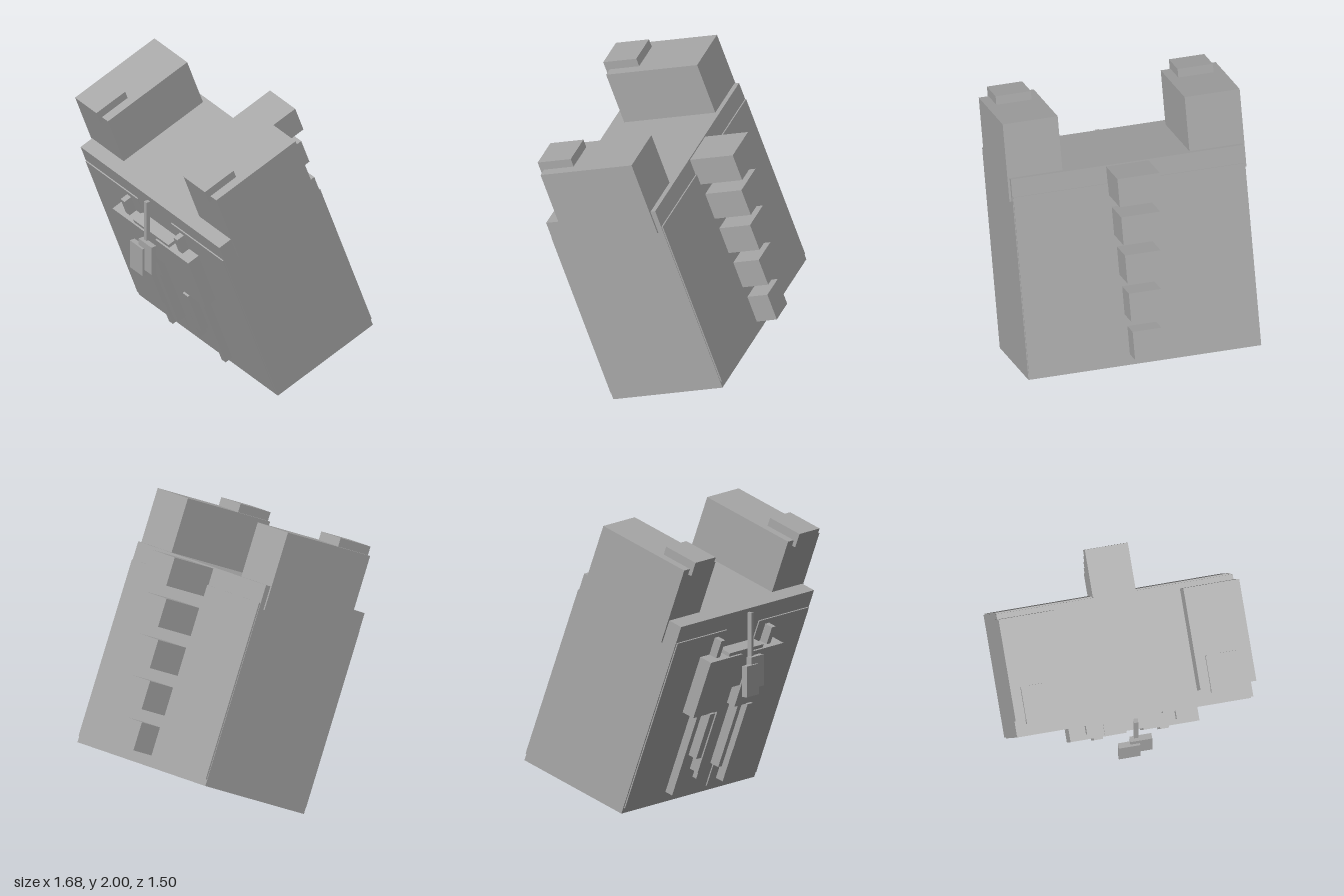
import * as THREE from 'three';

export function createModel() {
  const model = new THREE.Group();
  model.name = 'armouredTorso';
  const grey = new THREE.MeshStandardMaterial({ color: 0xa8a8a8 });
  grey.name = 'plain grey';

  // Box given by its lower and upper limits on each axis
  const box = (parent, name, [x0, x1], [y0, y1], [z0, z1]) => {
    const mesh = new THREE.Mesh(new THREE.BoxGeometry(x1 - x0, y1 - y0, z1 - z0), grey);
    mesh.position.set((x0 + x1) / 2, (y0 + y1) / 2, (z0 + z1) / 2);
    mesh.name = name;
    parent.add(mesh);
  };
  // The same box on both sides
  const pair = (parent, name, [x0, x1], y, z) => {
    box(parent, name + 'Left', [x0, x1], y, z);
    box(parent, name + 'Right', [-x1, -x0], y, z);
  };

  // Everything but the hanging pendant leans forward
  const leaning = new THREE.Group();
  leaning.name = 'leaningBody';
  leaning.rotation.x = THREE.MathUtils.degToRad(20);
  model.add(leaning);

  // Trunk and its thin cover plates
  box(leaning, 'trunk', [-0.825, 0.825], [0.064, 1.506], [-0.684, 0.167]);
  box(leaning, 'backPlate', [-0.82, 0.82], [0.11, 1.377], [-0.694, -0.68]);
  pair(leaning, 'frontPanel', [0.2, 0.815], [0.106, 1.38], [0.16, 0.176]);

  // Shoulders with raised caps
  pair(leaning, 'shoulder', [0.45, 0.84], [1.338, 1.895], [-0.647, 0.063]);
  pair(leaning, 'shoulderCap', [0.52, 0.77], [1.853, 1.956], [-0.167, 0.091]);

  // Spine blocks shrink towards the bottom
  for (let i = 0; i < 5; i++) {
    const half = 0.15 - 0.012 * i;
    const top = 1.497 - 0.288 * i;
    box(leaning, 'spineBlock' + (i + 1), [-half, half], [top - 0.202, top], [-1.018 + 0.042 * i, -0.68]);
  }

  // Chest pouches, bridge and hanging straps
  pair(leaning, 'pouch', [0.06, 0.45], [0.787, 1.214], [0.16, 0.27]);
  box(leaning, 'bridge', [-0.21, 0.21], [0.95, 1.24], [0.16, 0.257]);
  pair(leaning, 'longStrap', [0.29, 0.337], [0.153, 1.344], [0.16, 0.235]);
  pair(leaning, 'wideStrap', [0.2, 0.262], [0.446, 0.79], [0.2, 0.286]);
  pair(leaning, 'innerStrap', [0.105, 0.15], [0.312, 1.0], [0.2, 0.269]);
  box(leaning, 'centreStrap', [-0.018, 0.018], [0.21, 1.0], [0.16, 0.2]);

  // Upright pendant: cord and two tags
  box(model, 'pendantCord', [-0.015, 0.015], [0.915, 1.335], [0.68, 0.712]);
  box(model, 'rearTag', [-0.045, 0.108], [0.812, 1.03], [0.694, 0.735]);
  box(model, 'frontTag', [-0.128, 0.022], [0.765, 0.98], [0.71, 0.75]);

  return model;
}
